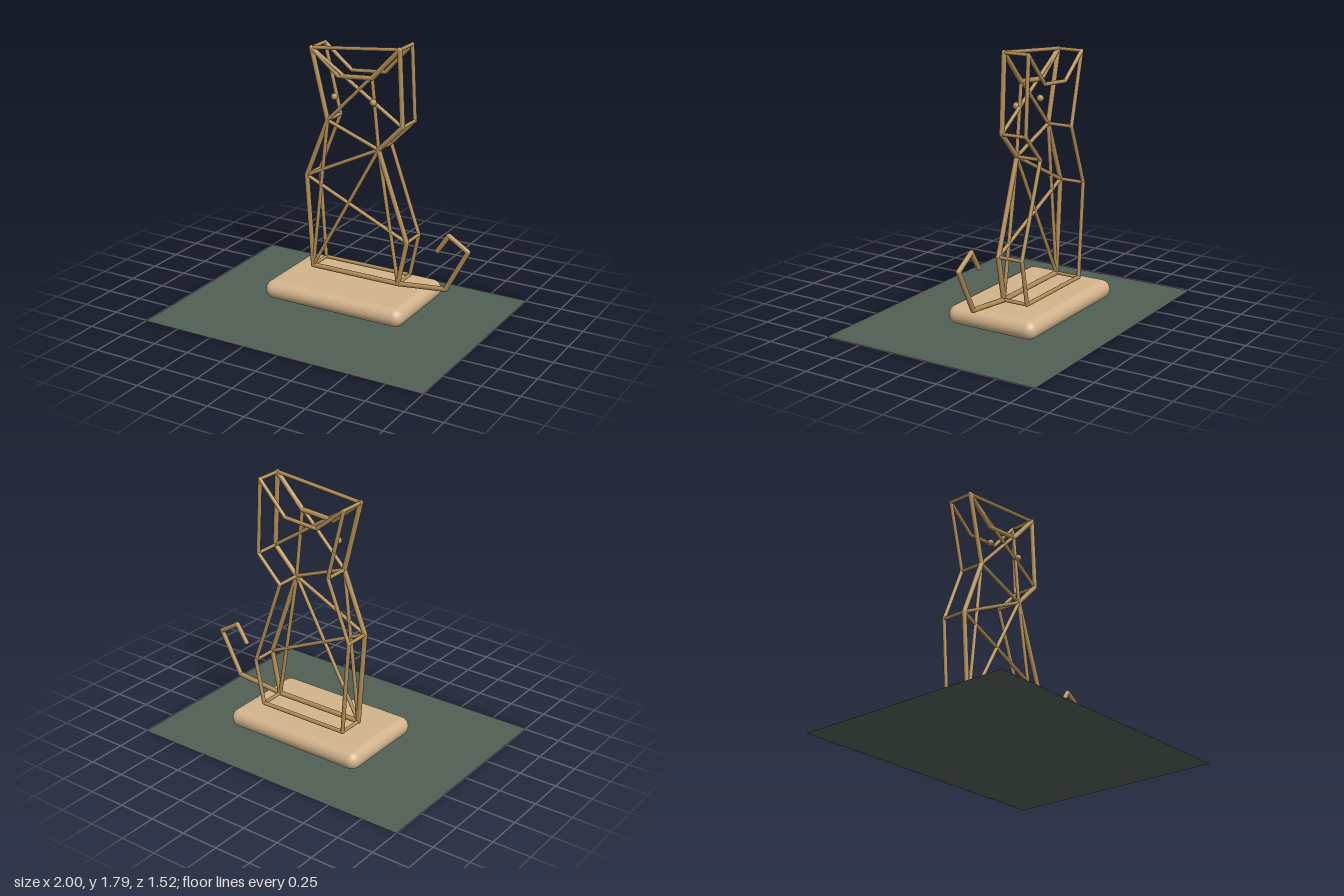
import * as THREE from 'three';
import { RoundedBoxGeometry } from 'three/addons/geometries/RoundedBoxGeometry.js';

const FRONT_Z = -0.135, BACK_Z = -0.305;

// Joints of the cat outline, in the x/y plane
const P = {
  earR: [-0.28, 1.708], earL: [0.35, 1.77], cheekL: [0.377, 1.277], neckL: [0.21, 1.105],
  hipL: [0.42, 0.515], footL: [0.36, 0.22], footR: [-0.275, 0.22], hipR: [-0.32, 0.848],
  neckR: [-0.163, 1.245], browR: [-0.08, 1.547], browL: [0.16, 1.565],
};
const OUTLINE = ['earR', 'browR', 'browL', 'earL', 'cheekL', 'neckL', 'hipL', 'footL', 'footR', 'hipR', 'neckR'];
const BRACES = [
  ['earR', 'earL'], ['earR', 'cheekL'], ['earL', 'neckR'], ['browL', 'neckL'], ['neckR', 'neckL'],
  ['hipR', 'neckL'], ['hipR', 'hipL'], ['neckL', 'footR'], ['neckL', 'footL'], ['neckR', 'footR'],
];
const TAIL = [P.footL, [0.7, 0.255], [0.85, 0.538], [0.715, 0.622], [0.635, 0.5]];

export function createModel() {
  const model = new THREE.Group();
  model.name = 'wireCatSculpture';

  const mat = (name, color, side = THREE.FrontSide) => {
    const m = new THREE.MeshStandardMaterial({ color, side });
    m.name = name;
    return m;
  };
  const bronze = mat('bronze', 0xb08d57);
  const tan = mat('tan', 0xd2b48c);
  const green = mat('darkGreen', 0x526055, THREE.DoubleSide);

  const add = (parent, name, geometry, material, x = 0, y = 0, z = 0) => {
    const mesh = new THREE.Mesh(geometry, material);
    mesh.name = name;
    mesh.position.set(x, y, z);
    parent.add(mesh);
    return mesh;
  };
  const group = (name) => {
    const g = new THREE.Group();
    g.name = name;
    model.add(g);
    return g;
  };
  const at = (p, z) => new THREE.Vector3(p[0], p[1], z);

  // Straight round bar between two points
  const rod = (parent, name, a, b, r) => {
    const dir = b.clone().sub(a);
    const mesh = add(parent, name, new THREE.CylinderGeometry(r, r, dir.length(), 12), bronze);
    mesh.position.copy(a).add(b).multiplyScalar(0.5);
    mesh.quaternion.setFromUnitVectors(new THREE.Vector3(0, 1, 0), dir.normalize());
  };
  const joint = (parent, p, r) =>
    add(parent, 'joint', new THREE.SphereGeometry(r, 12, 8), bronze, p.x, p.y, p.z);

  // Ground sheet and rounded plinth
  const ground = add(model, 'groundSheet', new THREE.PlaneGeometry(2, 1.52), green);
  ground.rotation.x = -Math.PI / 2;
  add(model, 'plinth', new RoundedBoxGeometry(1.015, 0.125, 0.64, 6, 0.0624), tan, 0.032, 0.114, -0.135);

  // Front and back outlines
  for (const [name, z, r] of [['frontOutline', FRONT_Z, 0.0165], ['backOutline', BACK_Z, 0.013]]) {
    const g = group(name);
    OUTLINE.forEach((key, i) => {
      const a = at(P[key], z);
      const b = at(P[OUTLINE[(i + 1) % OUTLINE.length]], z);
      rod(g, 'outlineBar', a, b, r);
      joint(g, a, r);
    });
  }

  // Bars joining the two outlines
  const cross = group('crossBars');
  for (const key of OUTLINE) {
    if (!key.startsWith('brow')) rod(cross, 'crossBar', at(P[key], FRONT_Z), at(P[key], BACK_Z), 0.0115);
  }

  // Diagonal bracing on the front face
  const braces = group('braces');
  for (const [a, b] of BRACES) rod(braces, 'brace', at(P[a], FRONT_Z), at(P[b], FRONT_Z), 0.0125);

  // Bent tail with a flat cut end
  const tail = group('tail');
  for (let i = 0; i < TAIL.length - 1; i++) {
    rod(tail, 'tailBar', at(TAIL[i], FRONT_Z), at(TAIL[i + 1], FRONT_Z), 0.0165);
    joint(tail, at(TAIL[i], FRONT_Z), 0.0165);
  }

  // Eyes
  for (const [name, x] of [['rightEye', -0.1], ['leftEye', 0.18]]) {
    add(model, name, new THREE.SphereGeometry(0.023, 20, 14), bronze, x, 1.415, -0.114);
  }

  return model;
}
